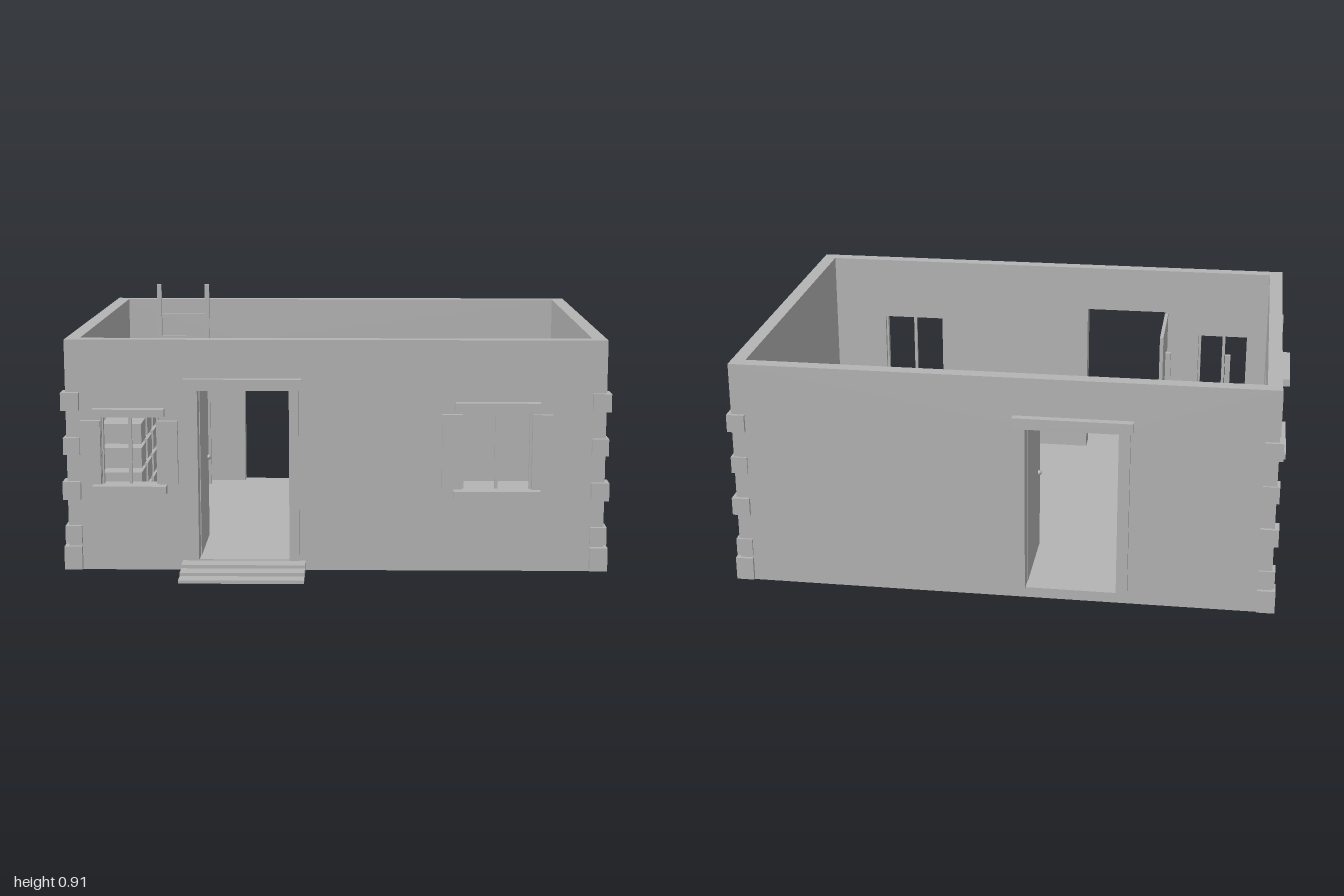
import * as THREE from 'three';

export function createModel() {
  const root = new THREE.Group();
  const plaster = new THREE.MeshStandardMaterial({ color: 0xb4b4b4 });
  plaster.name = 'plain grey';

  // Box given by its min and max corners
  function box(name, x0, x1, y0, y1, z0, z1, parent = root) {
    const mesh = new THREE.Mesh(new THREE.BoxGeometry(x1 - x0, y1 - y0, z1 - z0), plaster);
    mesh.position.set((x0 + x1) / 2, (y0 + y1) / 2, (z0 + z1) / 2);
    mesh.name = name;
    parent.add(mesh);
    return mesh;
  }
  function group(name, parent = root) {
    const g = new THREE.Group();
    g.name = name;
    parent.add(g);
    return g;
  }
  function rectangle(path, u0, u1, v0, v1) {
    path.moveTo(u0, v0);
    path.lineTo(u1, v0);
    path.lineTo(u1, v1);
    path.lineTo(u0, v1);
    path.closePath();
    return path;
  }
  // Wall slab with rectangular openings [u0, u1, v0, v1]
  function wall(name, u0, u1, openings) {
    const shape = rectangle(new THREE.Shape(), u0, u1, 0.005, 0.838);
    for (const o of openings) shape.holes.push(rectangle(new THREE.Path(), ...o));
    const mesh = new THREE.Mesh(
      new THREE.ExtrudeGeometry(shape, { depth: 0.05, bevelEnabled: false }), plaster);
    mesh.name = name;
    root.add(mesh);
    return mesh;
  }

  // Shell
  box('floor', -0.955, 0.955, 0, 0.04, -0.77, 0.605);
  wall('frontWall', -0.96, 0.96, [
    [-0.49, -0.165, 0.04, 0.66], [-0.835, -0.63, 0.315, 0.565], [0.45, 0.70, 0.30, 0.59],
  ]).position.z = 0.56;
  wall('backWall', -0.96, 0.96, [[-0.415, -0.09, 0.04, 0.66]]).position.z = -0.773;
  const rightSide = wall('leftSideWall', -0.723, 0.56, [[-0.36, -0.10, 0.33, 0.598]]);
  const leftSide = wall('rightSideWall', -0.723, 0.56, [[-0.06, 0.20, 0.33, 0.598]]);
  for (const w of [rightSide, leftSide]) w.rotation.y = -Math.PI / 2;
  rightSide.position.x = 0.96;
  leftSide.position.x = -0.91;

  // Window trim, centred on its opening and facing local +z from the wall face
  function windowTrim(name, w, y0, y1, trimOut, x, z, turn) {
    const g = group(name);
    const h = w / 2;
    box('sill', -h - 0.03, h + 0.03, y0 - 0.03, y0, -0.03, trimOut, g);
    box('lintel', -h - 0.025, h + 0.025, y1, y1 + 0.028, -0.03, trimOut, g);
    box('mullion', -0.006, 0.006, y0, y1, -0.032, -0.02, g);
    for (const s of [-1, 1]) {
      const c = s * (h + 0.035);
      box('shutter', c - 0.036, c + 0.036, y0 + 0.006, y1 - 0.016, 0, 0.018, g);
      box('jamb', s * (h - 0.004) - 0.004, s * (h - 0.004) + 0.004, y0, y1, -0.035, -0.015, g);
    }
    g.position.set(x, 0, z);
    g.rotation.y = turn;
  }
  windowTrim('smallFrontWindow', 0.205, 0.315, 0.565, 0.035, -0.735, 0.61, 0);
  windowTrim('largeFrontWindow', 0.25, 0.30, 0.59, 0.035, 0.575, 0.61, 0);
  windowTrim('leftSideWindow', 0.26, 0.33, 0.598, 0.04, 0.96, -0.23, Math.PI / 2);
  windowTrim('rightSideWindow', 0.26, 0.33, 0.598, 0.04, -0.96, 0.07, -Math.PI / 2);

  // Door surrounds and open door leaves
  function doorway(name, x0, x1, zFace, out, leafX, leafZ0, leafZ1, knobZ) {
    const g = group(name);
    const span = (a, b) => [Math.min(a, b), Math.max(a, b)];
    const post = span(zFace - out * 0.05, zFace + out * 0.018);
    box('doorPost', x0 - 0.04, x0, 0.04, 0.66, ...post, g);
    box('doorPost', x1, x1 + 0.035, 0.04, 0.66, ...post, g);
    box('doorLintel', x0 - 0.05, x1 + 0.045, 0.66, 0.70, ...span(zFace - out * 0.05, zFace + out * 0.028), g);
    box('doorLeaf', leafX - 0.007, leafX + 0.007, 0.04, 0.655, leafZ0, leafZ1, g);
    for (const s of [-1, 1]) {
      const knob = new THREE.Mesh(new THREE.SphereGeometry(0.009, 10, 8), plaster);
      knob.position.set(leafX + s * 0.012, 0.35, knobZ);
      knob.name = 'doorKnob';
      g.add(knob);
    }
  }
  doorway('frontDoorway', -0.49, -0.165, 0.61, 1, -0.494, 0.245, 0.56, 0.285);
  doorway('backDoorway', -0.415, -0.09, -0.773, -1, -0.085, -0.723, -0.405, -0.455);

  // Front steps
  [[0.79, 0.012], [0.735, 0.024], [0.675, 0.036]].forEach(([z, y]) =>
    box('frontStep', -0.55, -0.108, 0, y, 0.60, z));

  // Corner stones
  const stones = [[0.005, 0.09, 0.975], [0.10, 0.165, 0.97], [0.263, 0.328, 0.975],
    [0.425, 0.487, 0.97], [0.585, 0.65, 0.975]];
  for (const sx of [-1, 1]) {
    for (const [y0, y1, r] of stones) {
      const xs = sx > 0 ? [0.911, r] : [-r, -0.911];
      box('cornerStone', ...xs, y0, y1, 0.561, r - 0.345);
      box('cornerStone', ...xs, y0, y1, -r + 0.19, -0.724);
    }
  }

  // Ladder
  const ladder = group('ladder');
  for (const x of [-0.77, -0.567]) {
    box('ladderRail', x - 0.009, x + 0.009, 0.04, 0.91, -0.655, -0.638, ladder);
    box('ladderHook', x - 0.005, x + 0.005, 0.78, 0.79, -0.69, -0.638, ladder);
  }
  for (let i = 1; i <= 8; i++) {
    const y = 0.031 + i * 0.0933;
    box('ladderRung', -0.77, -0.567, y - 0.006, y + 0.006, -0.652, -0.641, ladder);
  }

  // Stacked crates along the side wall
  const crates = group('crates');
  for (let column = 0; column < 4; column++) {
    const z = 0.165 - column * 0.18;
    for (let row = 0; row < 4; row++) {
      const top = 0.466 - row * 0.094;
      box('crate', -0.893, -0.743, top - 0.077, top, z - 0.065, z + 0.065, crates);
    }
  }
  box('lowCrate', -0.893, -0.743, 0.04, 0.36, -0.556, -0.45, crates);
  box('crateBase', -0.893, -0.743, 0.04, 0.10, -0.556, 0.24, crates);

  // Thin panel on the inside of the back wall
  box('wallPanel', 0.42, 0.865, 0.25, 0.50, -0.724, -0.716);

  return root;
}
